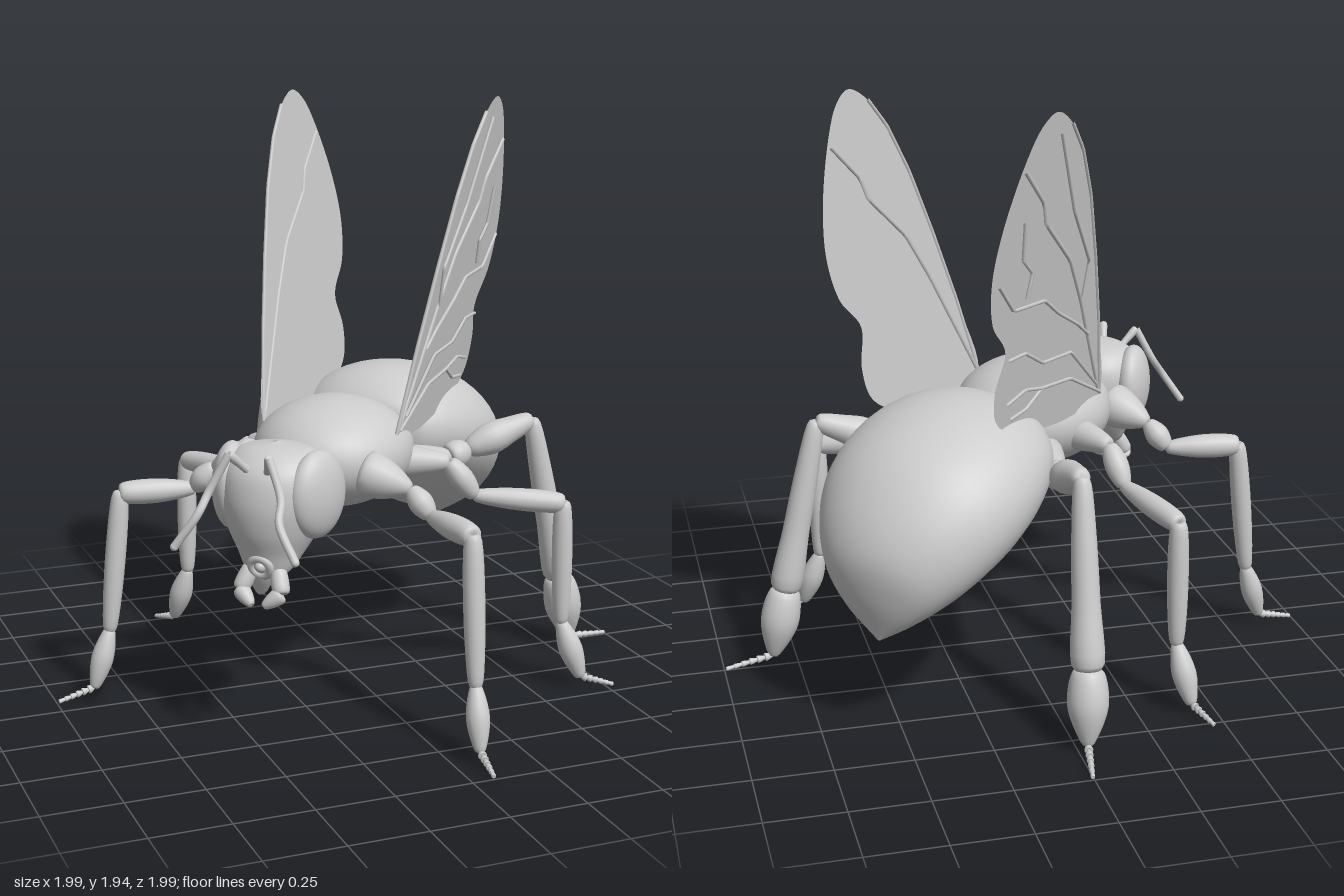
import * as THREE from 'three';

const grey = new THREE.MeshStandardMaterial({ color: 0xcccccc });
const thin = new THREE.MeshStandardMaterial({ color: 0xcccccc, side: THREE.DoubleSide });
const V = (x, y, z) => new THREE.Vector3(x, y, z);

function add(parent, name, geometry, material = grey) {
  const mesh = new THREE.Mesh(geometry, material);
  mesh.name = name;
  parent.add(mesh);
  return mesh;
}

function ellipsoid(parent, name, pos, radii, yaw = 0) {
  const mesh = add(parent, name, new THREE.SphereGeometry(1, 40, 28));
  mesh.position.set(...pos);
  mesh.scale.set(...radii);
  mesh.rotation.y = yaw;
}

// Smooth body from elliptical sections: [z1, y1, z2, y2, halfWidth]
function loft(sections, rings = 48, sides = 48) {
  const one = new THREE.CatmullRomCurve3(sections.map(s => V(s[4], s[1], s[0])));
  const two = new THREE.CatmullRomCurve3(sections.map(s => V(0, s[3], s[2])));
  const pos = [], index = [];
  for (let i = 0; i <= rings; i++) {
    const a = one.getPoint(i / rings), b = two.getPoint(i / rings);
    for (let j = 0; j < sides; j++) {
      const t = j / sides * Math.PI * 2, k = (1 + Math.cos(t)) / 2;
      pos.push(Math.sin(t) * a.x, b.y + (a.y - b.y) * k, b.z + (a.z - b.z) * k);
      if (i < rings) {
        const n = (j + 1) % sides, r = i * sides, q = r + sides;
        index.push(r + j, r + n, q + j, r + n, q + n, q + j);
      }
    }
  }
  const g = new THREE.BufferGeometry();
  g.setAttribute('position', new THREE.Float32BufferAttribute(pos, 3));
  g.setIndex(index);
  g.computeVertexNormals();
  return g;
}

// Rounded limb segment from a to b with radii spread evenly along it
function segment(parent, name, a, b, radii) {
  const dir = b.clone().sub(a), len = dir.length();
  const pts = [new THREE.Vector2(0, 0)];
  radii.forEach((r, i) => pts.push(new THREE.Vector2(r, len * (0.03 + 0.94 * i / (radii.length - 1)))));
  pts.push(new THREE.Vector2(0, len));
  const smooth = new THREE.SplineCurve(pts).getPoints(20);
  smooth.forEach(p => { p.x = Math.max(p.x, 0); });
  const mesh = add(parent, name, new THREE.LatheGeometry(smooth, 18));
  mesh.position.copy(a);
  mesh.quaternion.setFromUnitVectors(V(0, 1, 0), dir.normalize());
}

// Joint positions (left side) and thickness of each leg
const legs = {
  front: {
    pts: [[.19, .81, .32], [.345, .77, .31], [.417, .69, .318], [.61, .69, .467], [.64, .23, .506], [.675, .04, .555], [.752, .012, .65]],
    radii: [[.07, .062, .022], [.022, .04, .024], [.022, .04, .034], [.028, .034, .024], [.02, .037, .018]]
  },
  middle: {
    pts: [[.2, .785, .06], [.36, .785, .007], [.438, .67, -.03], [.7, .64, -.16], [.703, .23, -.16], [.77, .04, -.177], [.87, .012, -.22]],
    radii: [[.05, .045, .025], [.025, .04, .024], [.022, .037, .032], [.028, .034, .024], [.02, .04, .02]]
  },
  hind: {
    pts: [[.15, .75, -.05], [.28, .74, -.205], [.325, .76, -.265], [.5, .845, -.43], [.58, .26, -.524], [.607, .03, -.568], [.698, .012, -.703]],
    radii: [[.05, .05, .03], [.04, .048, .03], [.03, .055, .045, .028], [.028, .04, .045, .052], [.05, .064, .022]]
  }
};

function addLeg(parent, name, { pts, radii }, side) {
  const leg = new THREE.Group();
  leg.name = name;
  parent.add(leg);
  const p = pts.map(([x, y, z]) => V(x * side, y, z));
  ['coxa', 'trochanter', 'femur', 'tibia', 'tarsus'].forEach((part, i) => segment(leg, part, p[i], p[i + 1], radii[i]));
  // Beaded toe
  for (let i = 0; i < 6; i++) {
    const a = p[5].clone().lerp(p[6], i / 6), b = p[5].clone().lerp(p[6], (i + 1.1) / 6);
    segment(leg, 'toe', a, b, [.005, .014 - i * .0014]);
  }
}

// Wing outline and veins as [z, y]
const outline = [[.16, .9], [.08, 1.17], [-.01, 1.42], [-.1, 1.64], [-.19, 1.8], [-.28, 1.9], [-.375, 1.945], [-.45, 1.91], [-.515, 1.82],
  [-.595, 1.63], [-.62, 1.47], [-.585, 1.33], [-.49, 1.217], [-.52, 1.1], [-.495, .995], [-.38, .92], [-.23, .887], [-.023, .868]];
const leadingCount = 6;
const veins = [
  [[-.343, 1.878], [-.2, 1.608], [-.058, 1.418], [-.067, 1.286]],
  [[-.485, 1.63], [-.468, 1.508], [-.405, 1.455], [-.415, 1.376]],
  [[-.588, 1.455], [-.486, 1.354], [-.306, 1.344], [-.211, 1.28], [-.071, 1.206], [.007, 1.153]],
  [[-.48, 1.19], [-.38, 1.19], [-.264, 1.127], [-.09, 1.116], [.114, .95]],
  [[-.453, 1.037], [-.35, 1.06], [-.246, 1.037], [-.07, 1.02], [.15, .91]],
  [[-.42, .98], [-.33, .99], [-.246, 1.037]]
];
const mainVein = [[-.515, 1.79], [-.383, 1.67], [-.355, 1.6], [-.173, 1.444], [-.067, 1.286], [.15, .91]];

function addWing(parent, name, side) {
  const wing = new THREE.Group();
  wing.name = name;
  parent.add(wing);
  // The wing plane leans outward
  const place = (z, y, out = 0) => V(side * (.237 + .147 * (y - .9) + .03 * (z - .16) + out), y, z);
  const edge = new THREE.CatmullRomCurve3(outline.map(([z, y]) => V(z, y, 0)), true);
  const g = new THREE.ShapeGeometry(new THREE.Shape(edge.getPoints(108).map(p => new THREE.Vector2(p.x, p.y))));
  const pos = g.attributes.position;
  for (let i = 0; i < pos.count; i++) {
    const p = place(pos.getX(i), pos.getY(i));
    pos.setXYZ(i, p.x, p.y, p.z);
  }
  g.computeVertexNormals();
  add(wing, 'membrane', g, thin);
  const tube = (label, list, r, out) => {
    const path = new THREE.CurvePath();
    for (let i = 1; i < list.length; i++) path.add(new THREE.LineCurve3(place(...list[i - 1], out), place(...list[i], out)));
    add(wing, label, new THREE.TubeGeometry(path, 40, r, 6));
  };
  veins.forEach(v => tube('vein', v, .006, .007));
  tube('mainVein', mainVein, .008, 0);
  tube('leadingVein', outline.slice(0, leadingCount), .007, 0);
}

export function createModel() {
  const model = new THREE.Group();
  model.name = 'bee';
  const body = new THREE.Group();
  body.name = 'body';
  body.rotation.y = -Math.PI / 4;
  model.add(body);

  // Trunk
  ellipsoid(body, 'thorax', [0, .82, .125], [.263, .18, .275]);
  ellipsoid(body, 'neck', [0, .79, .41], [.05, .05, .07]);
  ellipsoid(body, 'waist', [0, .82, -.14], [.11, .1, .08]);
  const abdomen = add(body, 'abdomen', loft([
    [-.14, .84, -.14, .8, .01], [-.16, .93, -.17, .69, .2], [-.25, .995, -.265, .62, .29], [-.38, 1.015, -.38, .55, .335],
    [-.54, .99, -.49, .495, .347], [-.71, .91, -.59, .45, .322], [-.83, .78, -.68, .412, .262],
    [-.89, .64, -.74, .388, .19], [-.88, .5, -.785, .368, .11], [-.83, .345, -.825, .343, .003]
  ]));
  abdomen.position.x = -.012;

  // Head, listed from the chin upward
  add(body, 'head', loft([
    [.655, .53, .635, .53, .005], [.68, .56, .585, .55, .068], [.7, .62, .51, .605, .105], [.725, .69, .44, .69, .145],
    [.735, .78, .4, .78, .172], [.715, .87, .41, .87, .165], [.66, .925, .46, .925, .12], [.58, .95, .55, .95, .005]
  ]));
  const mouth = add(body, 'mouth', new THREE.TorusGeometry(.032, .013, 10, 24));
  mouth.position.set(0, .58, .68);
  mouth.rotation.x = .35;
  ellipsoid(body, 'mouthCentre', [0, .58, .68], [.018, .018, .02]);

  for (const side of [1, -1]) {
    const label = side > 0 ? 'left' : 'right';
    ellipsoid(body, label + 'Eye', [.145 * side, .8, .58], [.06, .138, .115], -.28 * side);
    // Jaws
    const jaw = [V(.045 * side, .57, .65), V(.07 * side, .5, .68), V(.02 * side, .462, .705)];
    segment(body, label + 'JawBase', jaw[0], jaw[1], [.022, .028, .024]);
    segment(body, label + 'JawTip', jaw[1], jaw[2], [.025, .024, .012]);
    // Elbowed antennae
    const feeler = [V(.02 * side, .86, .67), V(.067 * side, .945, .753), V(.12 * side, .83, .785), V(.135 * side, .77, .83), V(.2 * side, .67, .86)];
    segment(body, label + 'AntennaBase', feeler[0], feeler[1], [.014, .012, .014]);
    add(body, label + 'Antenna', new THREE.TubeGeometry(new THREE.CatmullRomCurve3(feeler.slice(1)), 24, .013, 10));
    ellipsoid(body, label + 'AntennaTip', feeler[4].toArray(), [.013, .013, .013]);
    for (const key in legs) addLeg(body, `${label}${key[0].toUpperCase()}${key.slice(1)}Leg`, legs[key], side);
    addWing(body, label + 'Wing', side);
  }
  return model;
}
